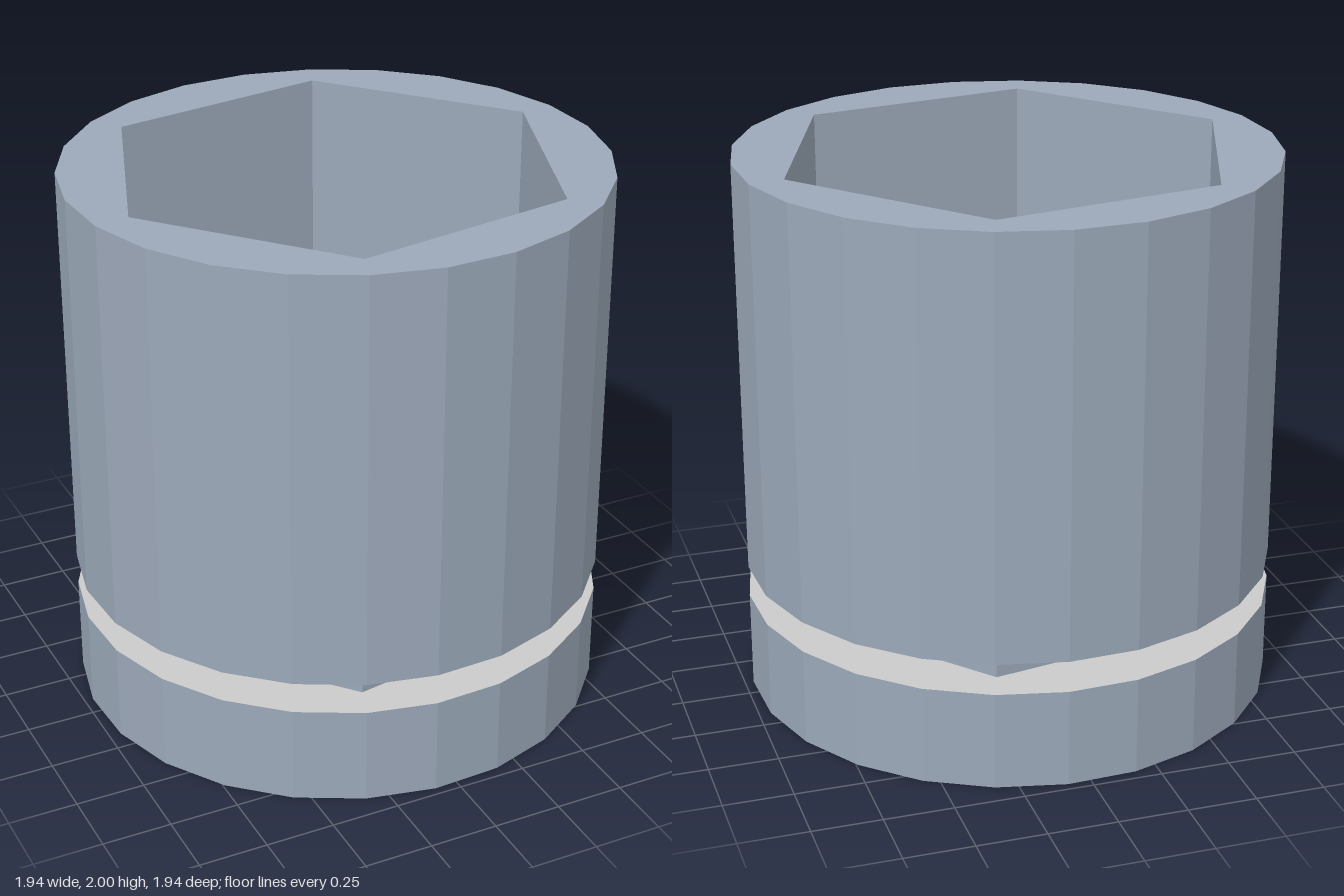
import * as THREE from 'three';

const RAD = Math.PI / 180;
const BASE_TOP = 0.36, GROOVE_TOP = 0.475, TOP = 2;

const steel = new THREE.MeshStandardMaterial({ color: 0x9ca9ba, flatShading: true });
const steelTwoSided = new THREE.MeshStandardMaterial({ color: 0x9ca9ba, flatShading: true, side: THREE.DoubleSide });
const grey = new THREE.MeshStandardMaterial({ color: 0xcccccc, flatShading: true });
const dark = new THREE.MeshStandardMaterial({ color: 0x404040, flatShading: true });

// Plan outlines as sides, radius and angle of the first corner, from +x towards +z
const round = { sides: 24, r: 0.972, start: 4.9 };
const hex = { sides: 6, r: 0.845, start: -10.1 };

function corners({ sides, r, start }) {
  return Array.from({ length: sides }, (_, i) => {
    const a = (start + (i * 360) / sides) * RAD;
    return new THREE.Vector2(r * Math.cos(a), r * Math.sin(a));
  });
}

// Turned rectangle of the drive opening
const DRIVE_W = 0.5, DRIVE_D = 0.424, DRIVE_TURN = 40 * RAD;
const drive = [[1, 1], [-1, 1], [-1, -1], [1, -1]].map(([sx, sz]) =>
  new THREE.Vector2((sx * DRIVE_W) / 2, (sz * DRIVE_D) / 2)
    .rotateAround(new THREE.Vector2(), -DRIVE_TURN));

function add(group, name, geometry, material) {
  const mesh = new THREE.Mesh(geometry, material);
  mesh.name = name;
  group.add(mesh);
  return mesh;
}

// Open prism wall between two heights
function wall({ sides, r, start }, y0, y1) {
  return new THREE.CylinderGeometry(r, r, y1 - y0, sides, 1, true, (90 - start) * RAD)
    .translate(0, (y0 + y1) / 2, 0);
}

// Flat horizontal face with a hole, facing up (1) or down (-1)
function face(outline, hole, y, facing) {
  const flip = (pts) => pts.map((p) => new THREE.Vector2(p.x, -facing * p.y));
  const shape = new THREE.Shape(flip(outline));
  shape.holes.push(new THREE.Path(flip(hole)));
  return new THREE.ShapeGeometry(shape)
    .rotateX((-facing * Math.PI) / 2)
    .translate(0, y, 0);
}

export function createModel() {
  const model = new THREE.Group();
  model.name = 'hexSocket';
  const roundPts = corners(round), hexPts = corners(hex);

  // Drive end
  add(model, 'baseWall', wall(round, 0, BASE_TOP), steel);
  add(model, 'baseBottom', face(roundPts, drive, 0, -1), steel);

  // Groove ledges around the hexagonal neck
  add(model, 'grooveLowerLedge', face(roundPts, hexPts, BASE_TOP, 1), grey);
  add(model, 'grooveUpperLedge', face(roundPts, hexPts, GROOVE_TOP, -1), grey);

  // Barrel with its rim
  add(model, 'barrelWall', wall(round, GROOVE_TOP, TOP), steel);
  add(model, 'barrelRim', face(roundPts, hexPts, TOP, 1), steel);

  // One hexagonal wall forms the neck outside and the socket inside
  add(model, 'hexWall', wall(hex, BASE_TOP, TOP), steelTwoSided);
  add(model, 'socketFloor', face(hexPts, drive, GROOVE_TOP, 1), steel);

  // Dark drive block from the bottom to the socket floor
  const block = add(model, 'driveBlock', new THREE.BoxGeometry(DRIVE_W, GROOVE_TOP, DRIVE_D), dark);
  block.position.y = GROOVE_TOP / 2;
  block.rotation.y = DRIVE_TURN;

  return model;
}
